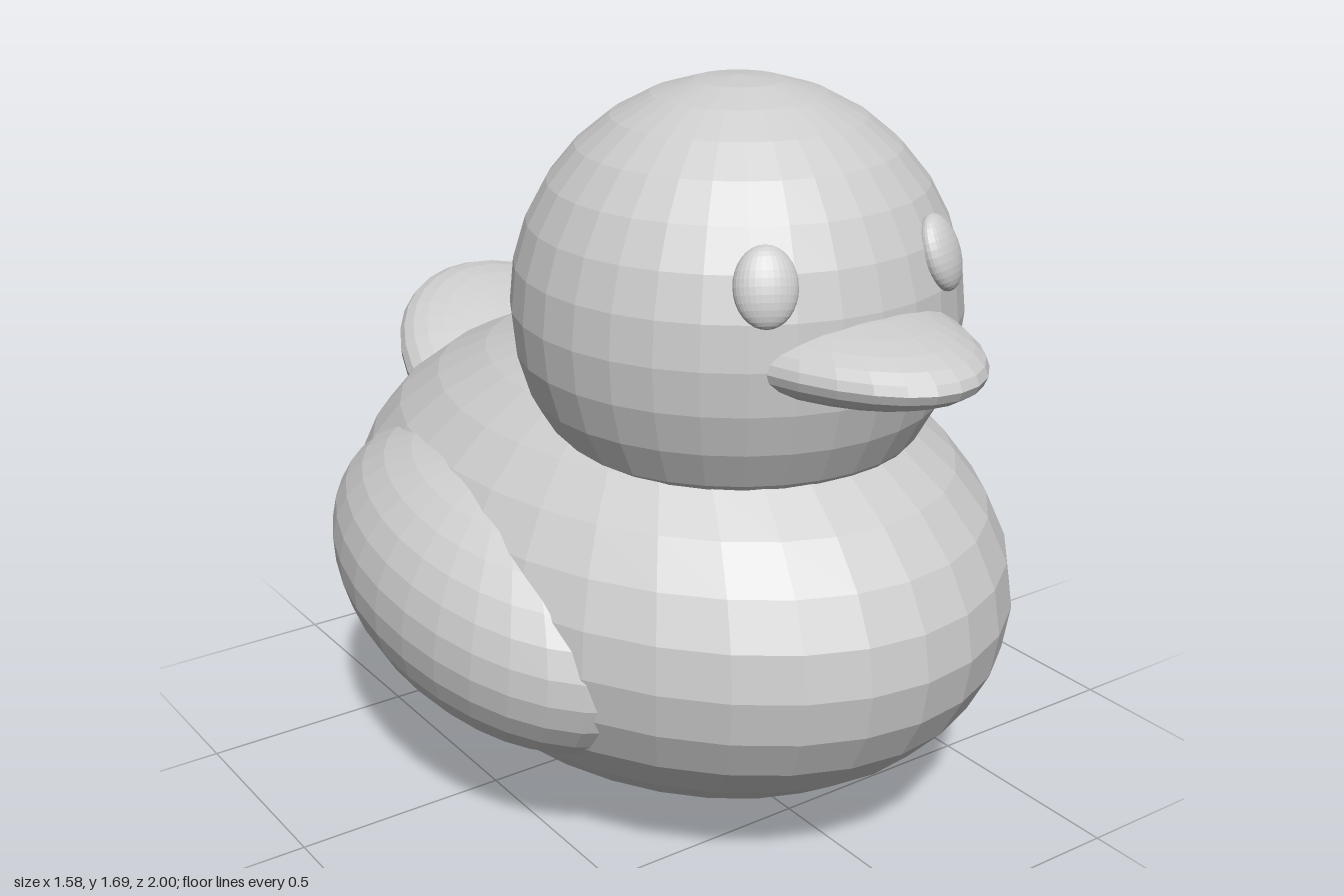
import * as THREE from 'three';

const grey = new THREE.MeshStandardMaterial({ color: 0xcccccc, flatShading: true });
grey.name = 'light grey';

// Faceted ellipsoid: centre, radii, and pitch (positive lifts the rear end)
function ellipsoid(name, center, radii, pitch = 0) {
  const geometry = new THREE.SphereGeometry(1, 32, 16);
  geometry.scale(...radii);
  const mesh = new THREE.Mesh(geometry, grey);
  mesh.name = name;
  mesh.position.set(...center);
  mesh.rotation.x = THREE.MathUtils.degToRad(pitch);
  return mesh;
}

export function createModel() {
  const duck = new THREE.Group();
  duck.name = 'duck';

  // Main volumes
  const headCenter = new THREE.Vector3(0, 1.19, 0.27);
  duck.add(ellipsoid('body', [0, 0.532, 0], [0.7, 0.532, 0.95]));
  duck.add(ellipsoid('head', headCenter.toArray(), [0.502, 0.5, 0.5]));

  // Flat bill sunk into the face
  duck.add(ellipsoid('bill', [0, 1.187, 0.5], [0.272, 0.102, 0.5]));

  // Tail feathers, tilted up at the back
  duck.add(ellipsoid('upperTail', [0, 0.77, -0.627], [0.335, 0.12, 0.4], 28));
  duck.add(ellipsoid('lowerTail', [0, 0.61, -0.725], [0.31, 0.07, 0.3], 25));

  // Wings on both sides
  for (const [side, s] of [['left', 1], ['right', -1]]) {
    duck.add(ellipsoid(side + 'Wing', [0.45 * s, 0.533, 0], [0.342, 0.315, 0.585], 8));
  }

  // Eyes lie against the head, flattened along its surface normal
  for (const [side, x] of [['left', 0.215], ['right', -0.235]]) {
    const normal = new THREE.Vector3(x, 1.36 - headCenter.y, 0);
    normal.z = Math.sqrt(0.25 - normal.lengthSq());
    const center = headCenter.clone().add(normal);
    const eye = ellipsoid(side + 'Eye', center.toArray(), [0.066, 0.084, 0.036]);
    eye.lookAt(center.clone().add(normal));
    duck.add(eye);
  }

  return duck;
}
